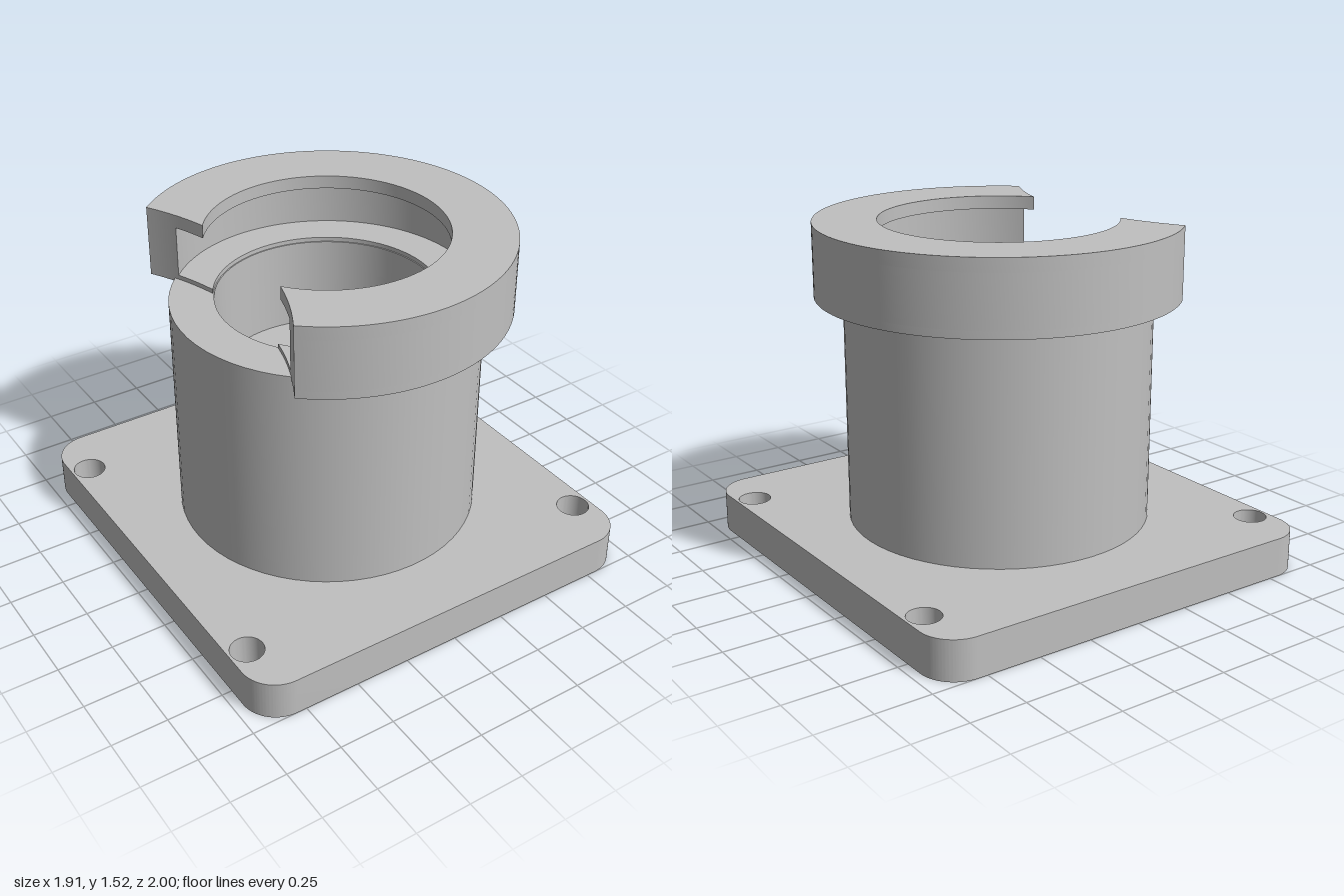
import * as THREE from 'three';
import { mergeGeometries, toCreasedNormals } from 'three/addons/utils/BufferGeometryUtils.js';

const grey = new THREE.MeshStandardMaterial({ color: 0xc0c0c0 });
grey.name = 'machined grey';

function addMesh(group, name, geometry) {
  const mesh = new THREE.Mesh(geometry, grey);
  mesh.name = name;
  group.add(mesh);
}

// Upright slab from a plan shape, with smooth curves and sharp edges
function slab(shape, y0, y1, curveSegments) {
  const g = new THREE.ExtrudeGeometry(shape, { depth: y1 - y0, bevelEnabled: false, curveSegments });
  g.rotateX(-Math.PI / 2);
  g.translate(0, y0, 0);
  return toCreasedNormals(g, Math.PI / 6);
}

// Turned solid whose profile corners all stay sharp
function turned(profile, segments) {
  const bands = [];
  for (let i = 0; i < profile.length - 1; i++) {
    const pair = [profile[i], profile[i + 1]].map(([r, y]) => new THREE.Vector2(r, y));
    bands.push(new THREE.LatheGeometry(pair, segments));
  }
  return mergeGeometries(bands);
}

function circleHole(x, y, r) {
  const path = new THREE.Path();
  path.absarc(x, y, r, 0, Math.PI * 2, true);
  return path;
}

// C-shaped plan: a ring with its -x side cut away by a large circle
function openRing(outer, inner) {
  const cx = -1.58, cutR = 1.2;
  const ends = r => {
    const x = (r * r + cx * cx - cutR * cutR) / (2 * cx);
    const z = Math.sqrt(r * r - x * x);
    return { ring: Math.atan2(z, x), cut: Math.atan2(z, x - cx) };
  };
  const o = ends(outer), i = ends(inner);
  const s = new THREE.Shape();
  s.absarc(0, 0, outer, -o.ring, o.ring, false);
  s.absarc(cx, 0, cutR, o.cut, i.cut, true);
  s.absarc(0, 0, inner, i.ring, -i.ring, true);
  s.absarc(cx, 0, cutR, -i.cut, -o.cut, true);
  return s;
}

export function createModel() {
  const model = new THREE.Group();
  model.name = 'flangedHousing';

  // Mounting plate with rounded corners, bolt holes and central bore
  const w = 0.955, d = 1, c = 0.16;
  const plan = new THREE.Shape();
  plan.absarc(w - c, d - c, c, 0, Math.PI / 2, false);
  plan.absarc(-w + c, d - c, c, Math.PI / 2, Math.PI, false);
  plan.absarc(-w + c, -d + c, c, Math.PI, Math.PI * 1.5, false);
  plan.absarc(w - c, -d + c, c, Math.PI * 1.5, Math.PI * 2, false);
  plan.closePath();
  for (const x of [-0.87, 0.87])
    for (const z of [-0.74, 0.74]) plan.holes.push(circleHole(x, z, 0.073));
  plan.holes.push(circleHole(0, 0, 0.485));
  addMesh(model, 'mountingPlate', slab(plan, 0, 0.178, 32));

  // Barrel, counterbored from both ends around a narrower through hole
  addMesh(model, 'barrel', turned([
    [0.68, 0.178], [0.68, 1.215], [0.485, 1.215], [0.485, 0.8],
    [0.27, 0.8], [0.27, 0.31], [0.485, 0.31], [0.485, 0.178],
  ], 64));

  // Open collar: floor, wall and overhanging lip
  const collar = new THREE.Group();
  collar.name = 'collar';
  addMesh(collar, 'collarFloor', slab(openRing(0.805, 0.49), 1.2, 1.235, 48));
  addMesh(collar, 'collarWall', slab(openRing(0.805, 0.66), 1.235, 1.465, 48));
  addMesh(collar, 'collarLip', slab(openRing(0.805, 0.525), 1.465, 1.525, 48));
  model.add(collar);

  return model;
}
